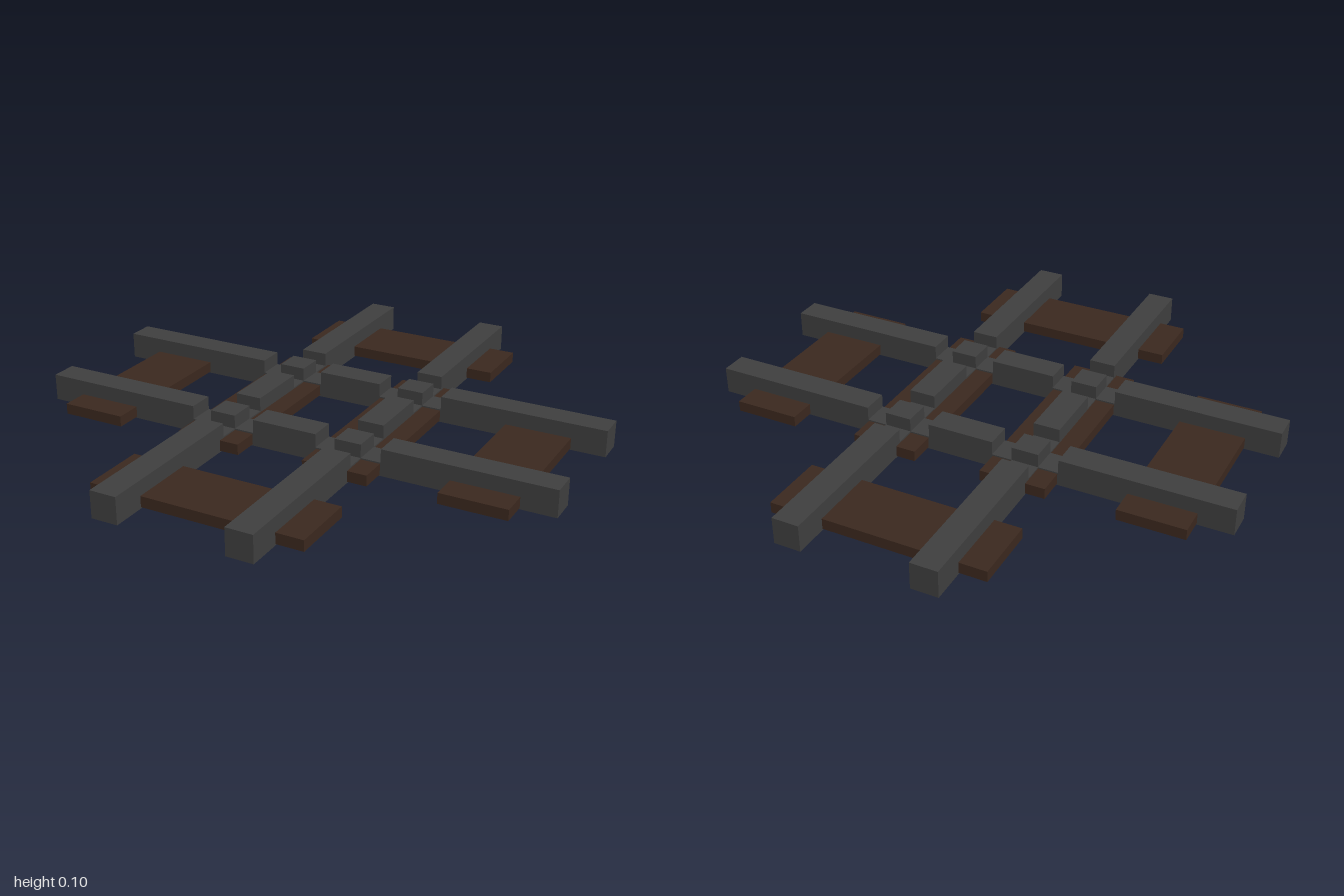
import * as THREE from 'three';

const GAUGE = 0.25; // rail centre line offset
const RAIL = 0.1;   // rail width and height
const LOW = 0.05;   // height of the rail inside the flange gaps

const steel = new THREE.MeshStandardMaterial({ color: 0x404040 });
const wood = new THREE.MeshStandardMaterial({ color: 0x3c291f });

// Rail piece: side profile in x/y, extruded across the rail width
function railPiece(name, points, z) {
  const shape = new THREE.Shape(points.map(([x, y]) => new THREE.Vector2(x, y)));
  const geometry = new THREE.ExtrudeGeometry(shape, { depth: RAIL, bevelEnabled: false });
  geometry.translate(0, 0, z - RAIL / 2);
  const mesh = new THREE.Mesh(geometry, steel);
  mesh.name = name;
  return mesh;
}

function box(name, w, h, d, x, y, z, material) {
  const mesh = new THREE.Mesh(new THREE.BoxGeometry(w, h, d), material);
  mesh.position.set(x, y, z);
  mesh.name = name;
  return mesh;
}

// One track running along x
function createTrack(name) {
  const track = new THREE.Group();
  track.name = name;
  const outer = [[0.3, 0], [1, 0], [1, RAIL], [0.375, RAIL], [0.375, LOW], [0.3, LOW]];
  const outerMirrored = outer.map(([x, y]) => [-x, y]).reverse();
  const inner = [[-0.2, 0], [0.2, 0], [0.2, LOW], [0.125, LOW], [0.125, RAIL],
    [-0.125, RAIL], [-0.125, LOW], [-0.2, LOW]];
  for (const z of [-GAUGE, GAUGE]) {
    track.add(railPiece('outerRail', outer, z));
    track.add(railPiece('outerRail', outerMirrored, z));
    track.add(railPiece('innerRail', inner, z));
  }
  // End ties, slightly raised above the rail base
  for (const x of [-0.75, 0.75]) {
    track.add(box('endTie', 0.245, 0.04, 0.8, x, 0.025, 0, wood));
  }
  return track;
}

export function createModel() {
  const model = new THREE.Group();
  model.name = 'railCrossing';

  const acrossTrack = createTrack('acrossTrack');
  const throughTrack = createTrack('throughTrack');
  throughTrack.rotation.y = Math.PI / 2;
  model.add(acrossTrack, throughTrack);

  // Ties under the crossing and the solid blocks where rails meet
  for (const x of [-GAUGE, GAUGE]) {
    model.add(box('crossingTie', 0.245, 0.04, 0.8, x, 0.025, 0, wood));
    for (const z of [-GAUGE, GAUGE]) {
      model.add(box('crossingBlock', RAIL, RAIL, RAIL, x, RAIL / 2, z, steel));
    }
  }
  return model;
}
